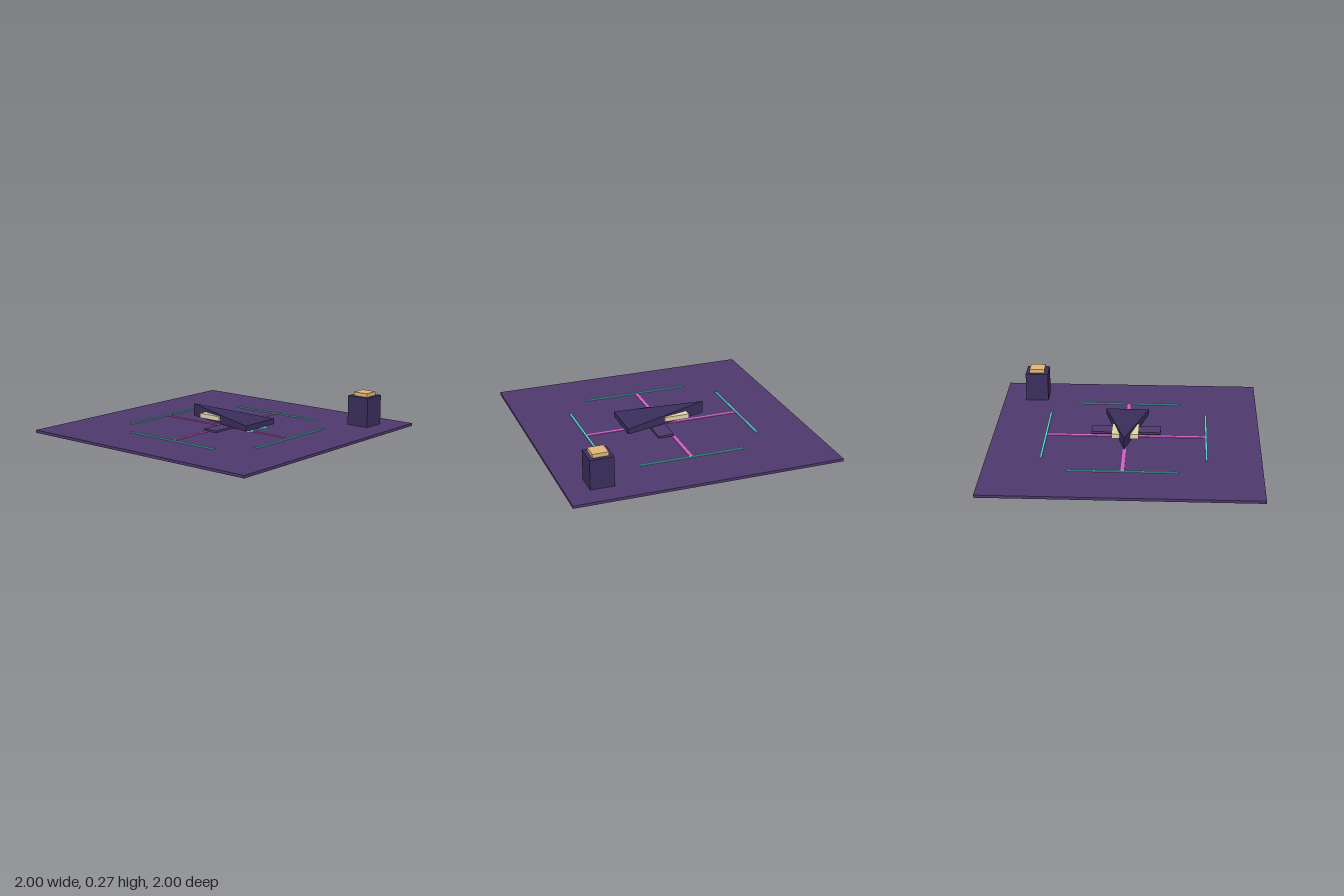
import * as THREE from 'three';
import { ConvexGeometry } from 'three/addons/geometries/ConvexGeometry.js';

const mat = (color) => new THREE.MeshStandardMaterial({ color, flatShading: true });

export function createModel() {
  const model = new THREE.Group();
  const floorMat = mat(0x4d386c), darkMat = mat(0x3a2e5c);
  const cyanMat = mat(0x55d6d2), pinkMat = mat(0xd45cc4);
  const creamMat = mat(0xe0d3a8), amberMat = mat(0xe0b577);

  const add = (name, geometry, material) => {
    const mesh = new THREE.Mesh(geometry, material);
    mesh.name = name;
    model.add(mesh);
    return mesh;
  };
  // Box given by its minimum and maximum corners
  const box = (name, material, [x0, y0, z0], [x1, y1, z1]) =>
    add(name, new THREE.BoxGeometry(x1 - x0, y1 - y0, z1 - z0), material)
      .position.set((x0 + x1) / 2, (y0 + y1) / 2, (z0 + z1) / 2);

  // Landing pad
  box('pad', floorMat, [-1, 0, -1], [1, 0.02, 1]);

  // Crossed centre lines
  box('centreLineX', pinkMat, [-0.6, 0.015, -0.0125], [0.6, 0.024, 0.0125]);
  box('centreLineZ', pinkMat, [-0.0125, 0.015, -0.6], [0.0125, 0.0235, 0.6]);

  // Border strips on all four sides
  for (const s of [-1, 1]) {
    const a = s * 0.6 - 0.008, b = s * 0.6 + 0.008;
    box('borderStripZ', cyanMat, [-0.4, 0.015, a], [0.4, 0.028, b]);
    box('borderStripX', cyanMat, [a, 0.015, -0.4], [b, 0.028, 0.4]);
  }

  // Wedge hull: triangular plan, the top rising towards the nose at the back
  const hull = [];
  for (const [x, top, z] of [[-0.165, 0.1, 0.325], [0.165, 0.1, 0.325], [0, 0.155, -0.325]])
    hull.push(new THREE.Vector3(x, 0.059, z), new THREE.Vector3(x, top, z));
  add('hull', new ConvexGeometry(hull), darkMat);

  // Cabin, wing and engines
  box('cabin', creamMat, [-0.1, 0.08, -0.175], [0.1, 0.115, 0.015]);
  box('wing', floorMat, [-0.26, 0.035, 0.005], [0.26, 0.05, 0.125]);
  for (const s of [-1, 1])
    box('engine', cyanMat, [s * 0.075 - 0.023, 0.035, 0.27], [s * 0.075 + 0.023, 0.059, 0.31]);

  // Beacon tower with its lamp
  box('tower', darkMat, [0.65, 0, 0.65], [0.826, 0.242, 0.826]);
  box('lamp', amberMat, [0.68, 0.242, 0.68], [0.797, 0.27, 0.797]);

  return model;
}
